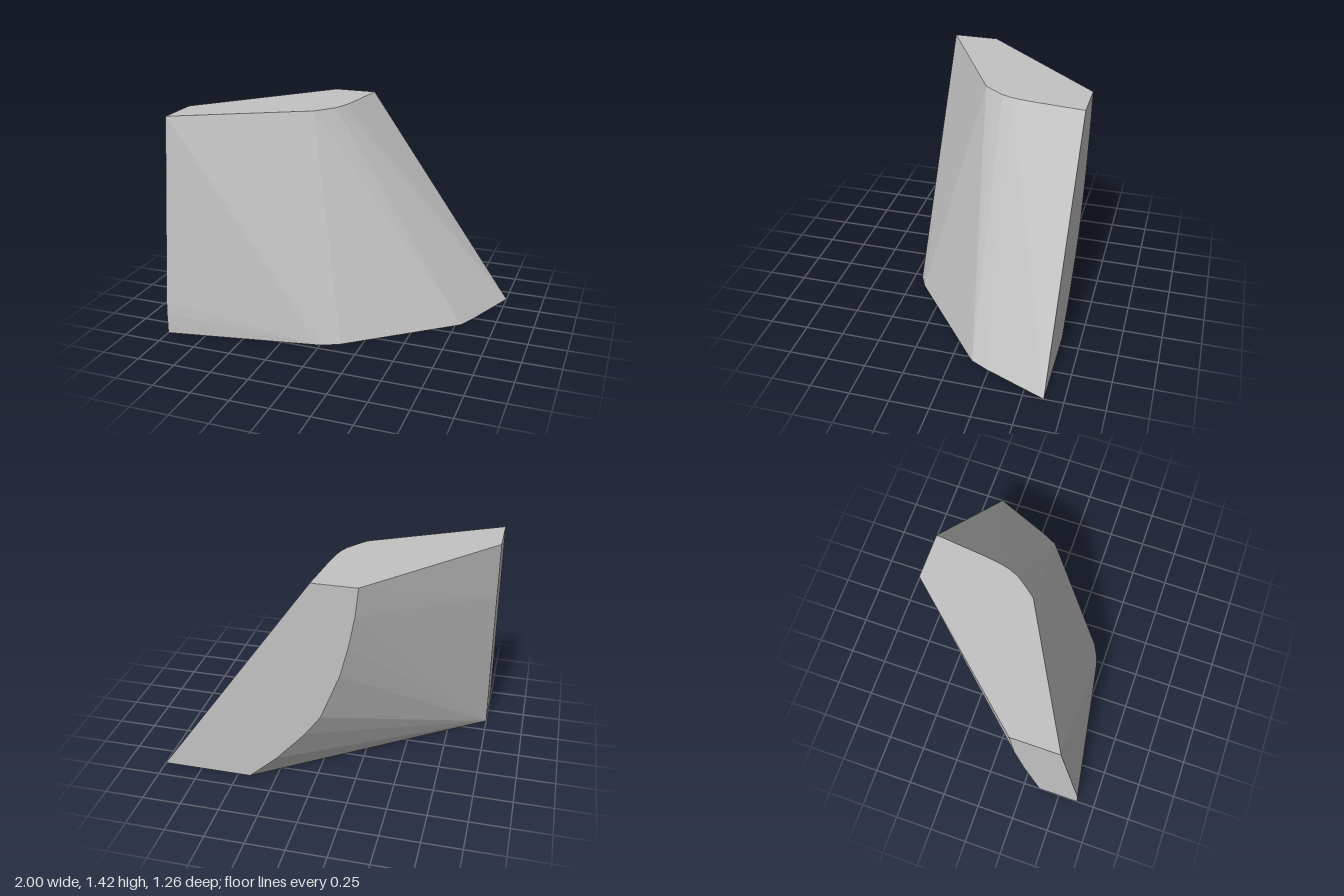
import * as THREE from 'three';
import { ConvexGeometry } from 'three/addons/geometries/ConvexGeometry.js';

const HEIGHT = 1.42;
const BACK = -0.63;
const SIDE = -1;

export function createModel() {
  const group = new THREE.Group();
  group.name = 'taperedBlock';
  const stone = new THREE.MeshStandardMaterial({ color: 0xc2c2c2 });
  stone.name = 'light grey';

  // Upper outline as x, z
  const top = [
    [SIDE, 0.18], [SIDE, 0.48], [-0.19, 0.04], [-0.145, -0.015], [-0.09, -0.09],
    [-0.065, -0.15], [-0.05, -0.21], [-0.035, -0.31], [0, BACK], [-0.28, BACK],
  ];
  // Lower outline as x, z
  const base = [
    [SIDE, 0.36], [SIDE, 0.63], [-0.02, 0.46], [0.03, 0.445], [0.12, 0.4],
    [0.75, -0.1], [0.785, -0.13], [0.84, -0.24], [1, BACK], [0.42, BACK],
  ];
  // Bowed edge of the undercut on the flat back, as x, y
  const backEdge = [
    [-0.262, 1.24], [-0.225, 1.04], [-0.174, 0.835], [-0.053, 0.524],
    [0.045, 0.387], [0.235, 0.17],
  ];
  // Bowed edges on the flat side, as z, y
  const sideEdge = [
    [0.2, 1.05], [0.258, 0.61], [0.305, 0.33], [0.625, 0.22], [0.63, 0.14],
  ];

  const points = [
    ...top.map(([x, z]) => new THREE.Vector3(x, HEIGHT, z)),
    ...base.map(([x, z]) => new THREE.Vector3(x, 0, z)),
    ...backEdge.map(([x, y]) => new THREE.Vector3(x, y, BACK)),
    ...sideEdge.map(([z, y]) => new THREE.Vector3(SIDE, y, z)),
  ];

  const block = new THREE.Mesh(new ConvexGeometry(points), stone);
  block.name = 'block';
  group.add(block);
  return group;
}
